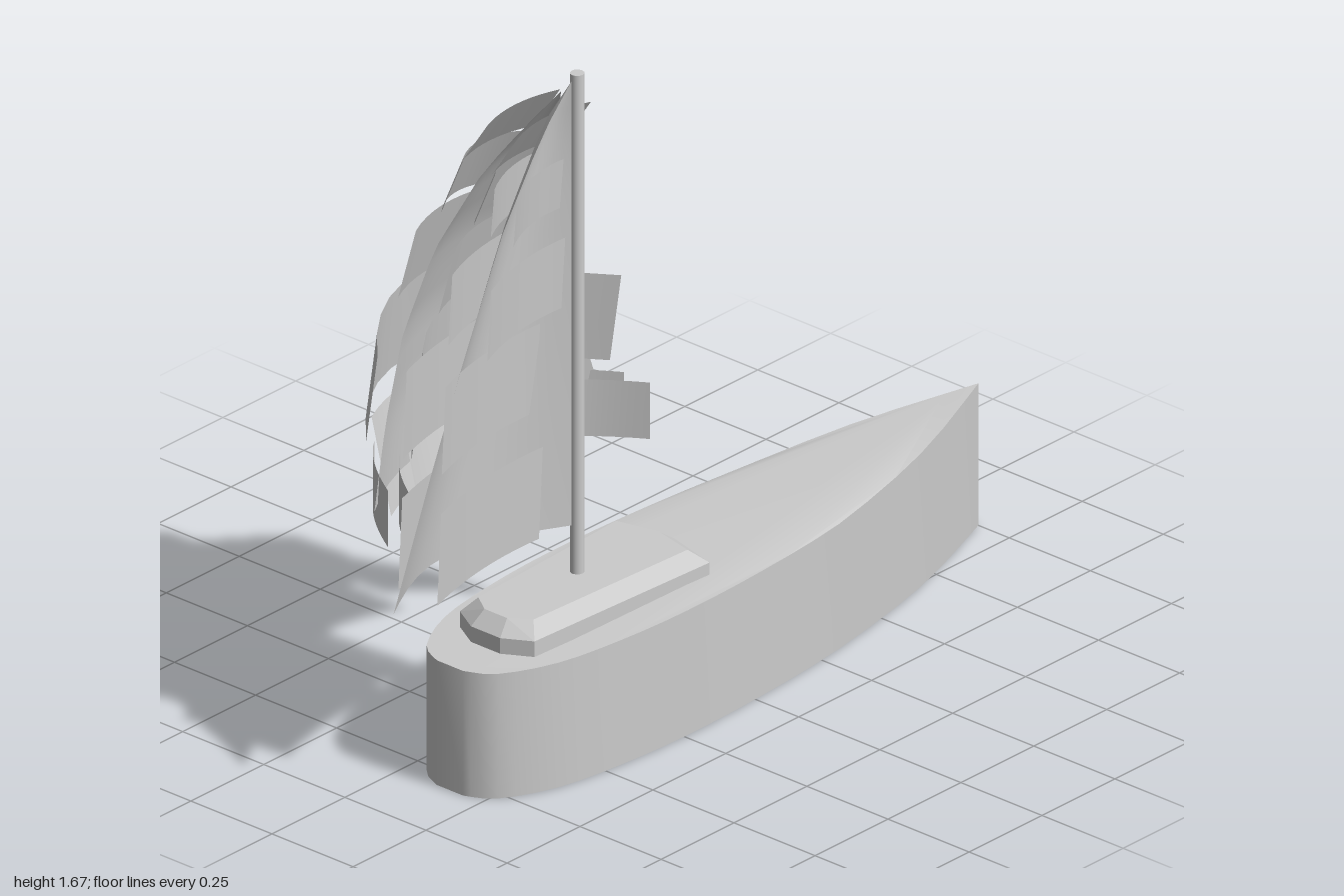
import * as THREE from 'three';
import { toCreasedNormals } from 'three/addons/utils/BufferGeometryUtils.js';
import { ConvexGeometry } from 'three/addons/geometries/ConvexGeometry.js';

const CX = 0.155;      // centre line of the hull
const MAST_Z = 0.37;
const solid = new THREE.MeshStandardMaterial({ color: 0xcccccc });
const cloth = new THREE.MeshStandardMaterial({ color: 0xcccccc, side: THREE.DoubleSide });

function add(parent, name, geometry, material = solid) {
  const mesh = new THREE.Mesh(geometry, material);
  mesh.name = name;
  parent.add(mesh);
  return mesh;
}

// Smooth sheet from a rule: point(u, v) -> [x, y, z]
function sheet(nu, nv, point) {
  const geo = new THREE.PlaneGeometry(1, 1, nu, nv);
  const pos = geo.attributes.position;
  for (let i = 0; i < pos.count; i++) {
    pos.setXYZ(i, ...point(pos.getX(i) + 0.5, pos.getY(i) + 0.5));
  }
  geo.computeVertexNormals();
  return geo;
}

// Linear lookup in a short list of [key, value...] rows with rising keys
function lookup(rows, key, column) {
  let i = 1;
  while (i < rows.length - 1 && rows[i][0] < key) i++;
  const a = rows[i - 1], b = rows[i];
  return THREE.MathUtils.mapLinear(key, a[0], b[0], a[column], b[column]);
}

// Curved cloth strip from (xA, zA) to (xB, zB), bulging to -x, leaning towards +x at its top
function strip({ xA, zA, xB, zB, y0, y1, bulge = 0, lean = 0, droop = 0 }) {
  return sheet(10, 1, (u, v) => {
    const arc = 4 * u * (1 - u);
    return [
      xA + (xB - xA) * u - bulge * arc + lean * v,
      y0 + (y1 - y0) * v - droop * (1 - arc),
      zA + (zB - zA) * u,
    ];
  });
}

function createHull(parent) {
  const half = [[0, -1], [0.11, -0.68], [0.182, -0.32], [0.21, -0.02], [0.217, 0.24],
    [0.205, 0.45], [0.175, 0.635], [0.11, 0.77], [0.04, 0.812]];
  const side = new THREE.SplineCurve(half.map(([x, z]) => new THREE.Vector2(x, -z))).getPoints(24);
  const outline = [...side, ...side.slice(1).reverse().map(p => new THREE.Vector2(-p.x, p.y))];
  let geo = new THREE.ExtrudeGeometry(new THREE.Shape(outline), { depth: 0.32, bevelEnabled: false });
  geo.rotateX(-Math.PI / 2);
  // The deck rises towards the bow
  const pos = geo.attributes.position;
  for (let i = 0; i < pos.count; i++) {
    const t = Math.max(0, (-0.3 - pos.getZ(i)) / 0.7);
    if (pos.getY(i) > 0.1) pos.setY(i, 0.32 + 0.045 * Math.pow(t, 1.2));
  }
  geo = toCreasedNormals(geo, 0.6);
  geo.translate(CX, 0, 0);
  add(parent, 'hull', geo);
}

function createCabin(parent) {
  const base = [[0, 0.045], [0.145, 0.083], [0.115, 0.65], [0.045, 0.69]];
  const roof = [[0, 0.095], [0.11, 0.12], [0.085, 0.62], [0.035, 0.655]];
  const points = [];
  const ring = (rows, y) => rows.forEach(([x, z]) => [-1, 1].forEach(s =>
    points.push(new THREE.Vector3(CX + s * x, y, z))));
  ring(base, 0.31);
  ring(base, 0.36);
  ring(roof, 0.395);
  add(parent, 'cabin', new ConvexGeometry(points));
}

function createMainSail(parent) {
  const group = new THREE.Group();
  group.name = 'mainSail';
  // height, z of the trailing edge
  const leech = [[0.52, 1], [0.82, 0.875], [1.07, 0.765], [1.35, 0.63], [1.56, 0.49], [1.66, 0.39]];
  add(group, 'mainSailCloth', sheet(10, 15, (u, v) => {
    const y = 0.52 + 1.14 * v;
    const luff = 0.39;
    const bulge = 0.11 * Math.pow(1 - v, 0.5) * Math.sin(Math.PI * u);
    return [0.15 - bulge, y, luff + (lookup(leech, y, 1) - luff) * u];
  }), cloth);
  // Strips in pairs, one on each face: x, z start, z end, bottom, top
  const rows = [
    [0.08, 0.43, 0.65, 1.35, 1.48],
    [0.035, 0.43, 0.745, 1.095, 1.28],
    [-0.02, 0.455, 0.84, 0.82, 1.05],
    [0.02, 0.49, 0.9, 0.52, 0.76],
  ];
  rows.forEach(([x, zA, zB, y0, y1], i) => {
    const gap = i === 0 ? 0.07 : 0.12;
    for (const dx of [0, gap]) {
      add(group, 'mainSailStrip', strip({
        xA: x + dx, zA, xB: x + dx + 0.055, zB, y0, y1, bulge: 0.02, lean: 0.012,
      }), cloth);
    }
  });
  parent.add(group);
}

function createForeSail(parent) {
  const group = new THREE.Group();
  group.name = 'foreSail';
  // height, x of the middle, half width, sweep of the edges
  const body = [[0.6, -0.255, 0.39, 0.13], [0.8, -0.25, 0.335, 0.11], [1, -0.22, 0.265, 0.07],
    [1.2, -0.16, 0.19, 0.04], [1.4, -0.06, 0.12, 0.025], [1.52, 0.03, 0.06, 0.01], [1.61, 0.1, 0, 0]];
  add(group, 'foreSailCloth', sheet(12, 18, (u, v) => {
    const y = 0.6 + 1.01 * v, s = 2 * u - 1;
    return [lookup(body, y, 1) + lookup(body, y, 3) * s * s, y, MAST_Z + lookup(body, y, 2) * s];
  }), cloth);
  // Strips in pairs: x of the lower middle, half width, bottom, top, bulge, lean, gap, droop
  const rows = [
    [-0.12, 0.125, 1.41, 1.53, 0.025, 0.08, 0.095, 0],
    [-0.215, 0.11, 1.25, 1.4, 0.045, 0.065, 0.1, 0],
    [-0.29, 0.175, 1.03, 1.22, 0.045, 0.055, 0.125, 0],
    [-0.37, 0.34, 0.77, 1, 0.175, 0.035, 0.14, 0.03],
    [-0.29, 0.21, 0.485, 0.72, 0.055, -0.06, 0.1, 0],
  ];
  for (const [x, half, y0, y1, bulge, lean, gap, droop] of rows) {
    for (const dx of [0, gap]) {
      add(group, 'foreSailStrip', strip({
        xA: x + dx + bulge, zA: MAST_Z - half, xB: x + dx + bulge, zB: MAST_Z + half,
        y0, y1, bulge, lean, droop,
      }), cloth);
    }
  }
  // Short strips wrapping round both lower corners
  for (const s of [-1, 1]) {
    for (const dx of [0, 0.08]) {
      add(group, 'cornerStrip', strip({
        xA: -0.26 + dx, zA: MAST_Z + s * 0.24, xB: -0.07 + dx, zB: MAST_Z + s * 0.405,
        y0: 0.535, y1: 0.68, bulge: 0.02,
      }), cloth);
    }
  }
  parent.add(group);
}

export function createModel() {
  const model = new THREE.Group();
  model.name = 'sailboat';
  createHull(model);
  createCabin(model);
  const mast = add(model, 'mast', new THREE.CylinderGeometry(0.017, 0.017, 1.295, 12));
  mast.position.set(0.15, 1.0275, MAST_Z);
  createMainSail(model);
  createForeSail(model);
  return model;
}
